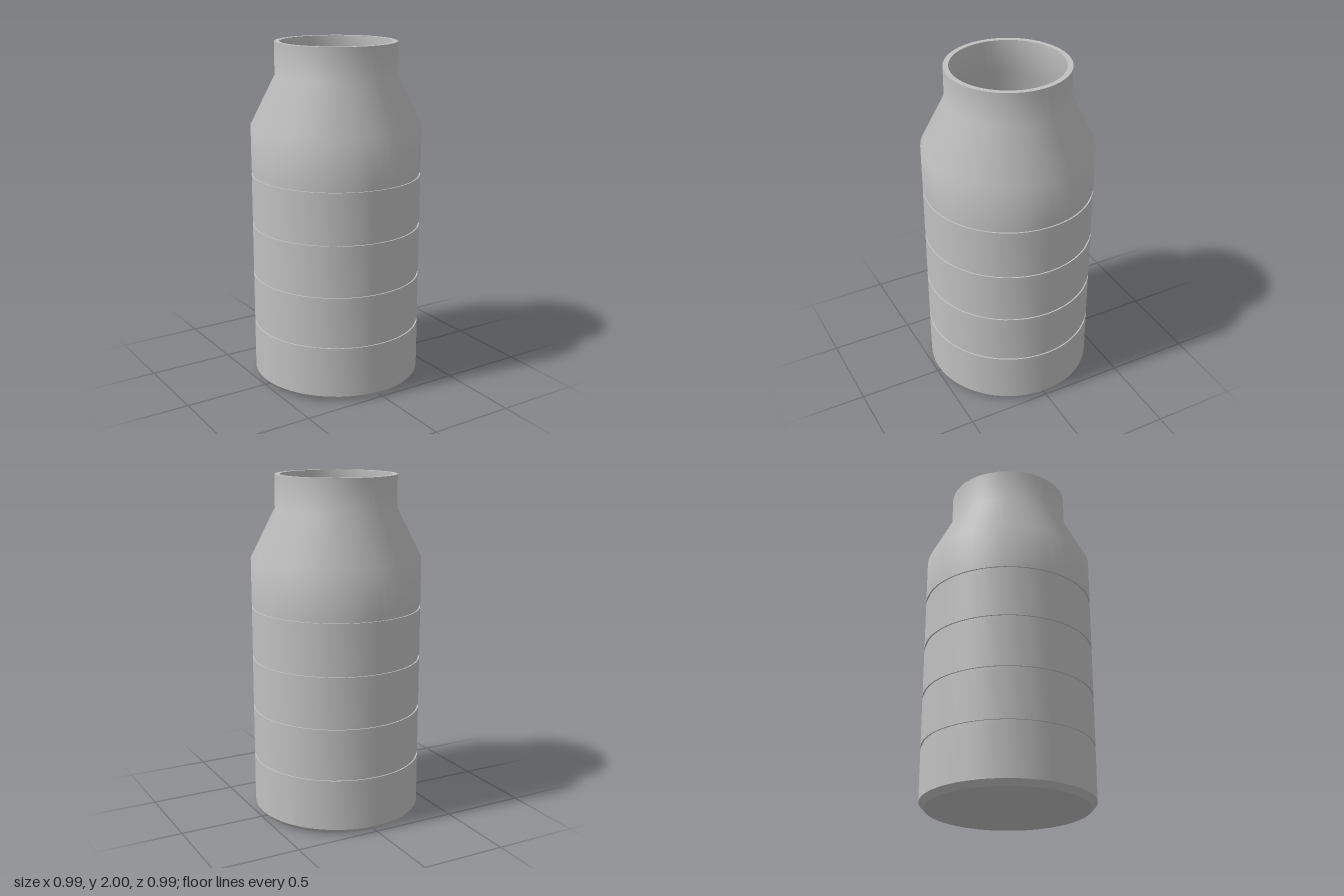
import * as THREE from 'three';
import { toCreasedNormals } from 'three/addons/utils/BufferGeometryUtils.js';

const SIDES = 48;
const RADIUS = 0.494;
const NECK = 0.351;
const WALL = 0.03;

export function createModel() {
  const bottle = new THREE.Group();
  bottle.name = 'bottle';
  const grey = new THREE.MeshStandardMaterial({ color: 0xc0c0c0 });
  grey.name = 'grey';

  // Revolve a profile; the gentle shoulder stays smooth, harder corners stay sharp
  const revolve = (name, profile) => {
    const points = profile.map(([r, y]) => new THREE.Vector2(r, y));
    const geometry = toCreasedNormals(new THREE.LatheGeometry(points, SIDES), 0.6);
    const mesh = new THREE.Mesh(geometry, grey);
    mesh.name = name;
    bottle.add(mesh);
  };

  // Four shallow grooves around the body
  const grooves = [];
  for (const y of [0.34, 0.642, 0.945, 1.247]) {
    const low = y - 0.011, high = y + 0.011, inner = RADIUS - 0.008;
    grooves.push([RADIUS, low], [inner, low], [inner, high], [RADIUS, high]);
  }

  // Outside: chamfered base, grooved body, sloping shoulder and straight neck
  revolve('outerShell', [
    [0, 0], [RADIUS - 0.032, 0], [RADIUS, 0.032],
    ...grooves,
    [RADIUS, 1.525], [NECK, 1.81], [NECK, 2],
  ]);

  // Flat ring at the mouth
  revolve('rim', [[NECK, 2], [NECK - WALL, 2]]);

  // Hollow inside, running from the mouth down to the floor
  revolve('innerWall', [
    [NECK - WALL, 2], [NECK - WALL, 1.803],
    [RADIUS - WALL, 1.518], [RADIUS - WALL, 0.04], [0, 0.04],
  ]);

  return bottle;
}
